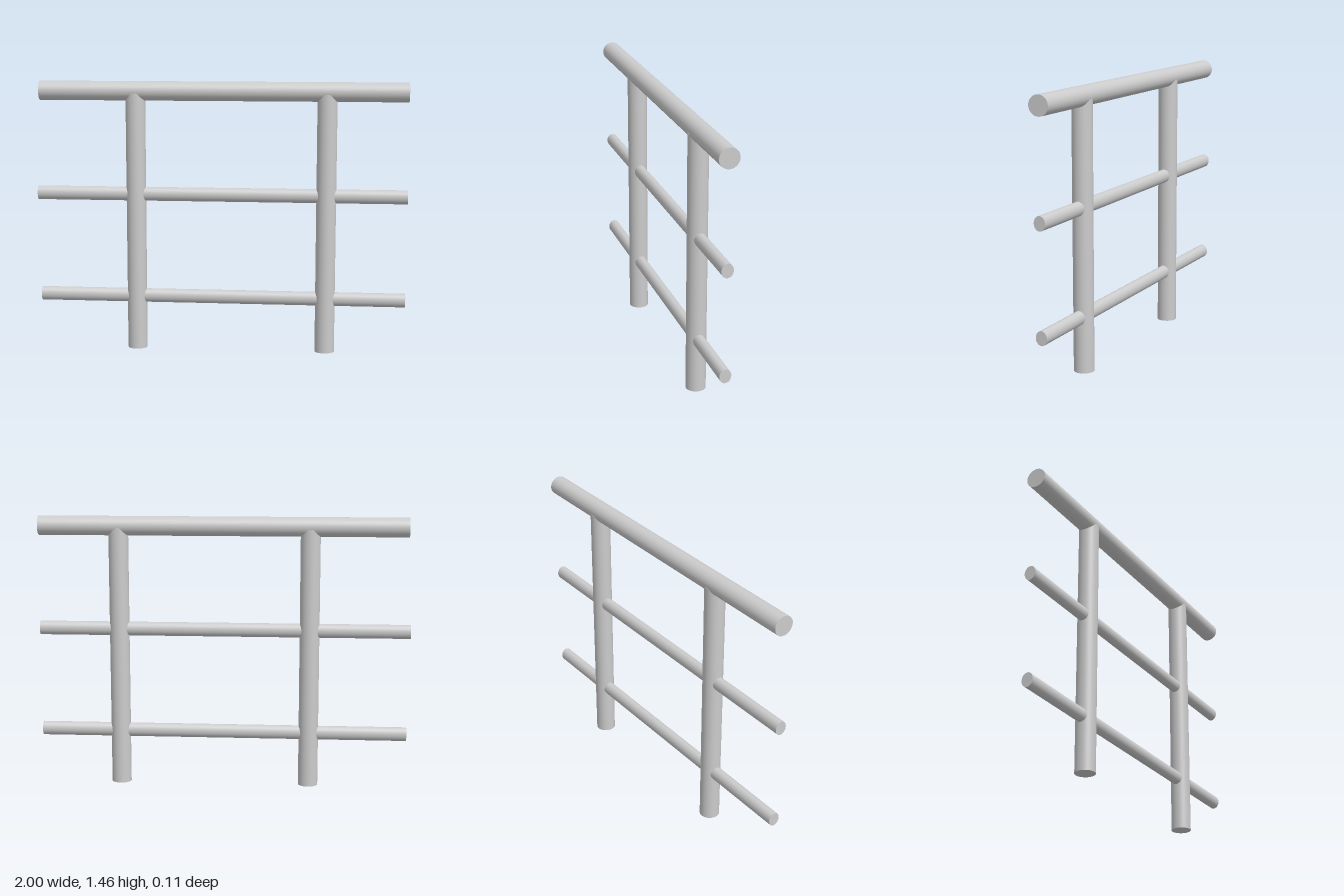
import * as THREE from 'three';

export function createModel() {
  const group = new THREE.Group();
  const material = new THREE.MeshStandardMaterial({ color: 0xcccccc });

  // Horizontal bar from x0 to x1 with an elliptical section
  function addRail(name, x0, x1, y, ry, rz) {
    const geometry = new THREE.CylinderGeometry(1, 1, x1 - x0, 48);
    geometry.rotateZ(Math.PI / 2).scale(1, ry, rz);
    const rail = new THREE.Mesh(geometry, material);
    rail.name = name;
    rail.position.set((x0 + x1) / 2, y, 0);
    group.add(rail);
  }

  addRail('handrail', -0.98, 0.996, 1.412, 0.052, 0.0525);
  addRail('middleRail', -1, 1, 0.855, 0.0375, 0.031);
  addRail('lowerRail', -0.99, 0.998, 0.292, 0.0375, 0.031);

  // Upright posts, ending inside the handrail
  const postHeight = 1.4;
  const postGeometry = new THREE.CylinderGeometry(0.053, 0.053, postHeight, 48);
  for (const [name, x] of [['rightPost', -0.461], ['leftPost', 0.567]]) {
    const post = new THREE.Mesh(postGeometry, material);
    post.name = name;
    post.position.set(x, postHeight / 2, 0);
    group.add(post);
  }
  return group;
}
